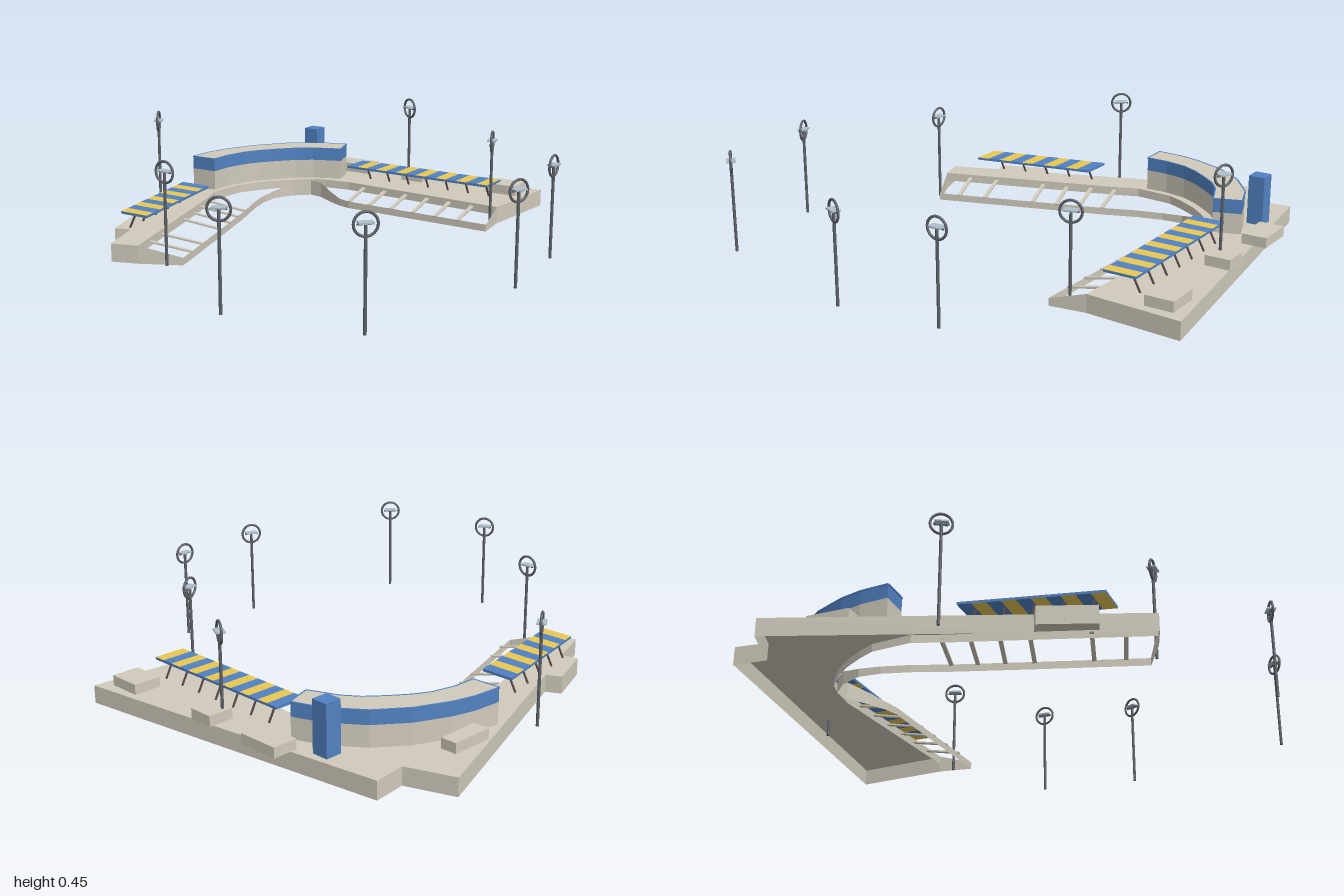
import * as THREE from 'three';

const mat = (name, color, side = THREE.FrontSide) => {
  const m = new THREE.MeshStandardMaterial({ color, side });
  m.name = name;
  return m;
};

export function createModel() {
  const concrete = mat('concrete', 0xd0cabb, THREE.DoubleSide);
  const blue = mat('blue', 0x5182c2);
  const yellow = mat('yellow', 0xe8c854);
  const steel = mat('steel', 0x5c6168);
  const panelGrey = mat('lamp panel', 0xaebfcb);
  const post = mat('post', 0x5e4a4c);
  const root = new THREE.Group();

  const add = (parent, name, geo, material) => {
    const m = new THREE.Mesh(geo, material);
    m.name = name;
    parent.add(m);
    return m;
  };
  const group = (name, parent = root) => {
    const g = new THREE.Group();
    g.name = name;
    parent.add(g);
    return g;
  };
  // upright prism over an [x, z] outline; material may be [caps, sides]
  const prism = (parent, name, pts, y0, y1, material) => {
    const shape = new THREE.Shape(pts.map(([x, z]) => new THREE.Vector2(x, -z)));
    const geo = new THREE.ExtrudeGeometry(shape, { depth: y1 - y0, bevelEnabled: false });
    geo.rotateX(-Math.PI / 2).translate(0, y0, 0);
    return add(parent, name, geo, material);
  };
  // thin upright wall along [x, z, top] points
  const wall = (parent, name, pts, y0 = 0) => {
    const pos = [];
    for (let i = 0; i < pts.length - 1; i++) {
      const [ax, az, ah] = pts[i], [bx, bz, bh] = pts[i + 1];
      pos.push(ax, y0, az, bx, y0, bz, bx, bh, bz, ax, y0, az, bx, bh, bz, ax, ah, az);
    }
    const geo = new THREE.BufferGeometry();
    geo.setAttribute('position', new THREE.Float32BufferAttribute(pos, 3));
    geo.computeVertexNormals();
    add(parent, name, geo, concrete);
  };
  // bar of width w and height h between two points
  const bar = (parent, name, a, b, w, h, material) => {
    const p = new THREE.Vector3(...a), q = new THREE.Vector3(...b);
    const m = add(parent, name, new THREE.BoxGeometry(w, h, p.distanceTo(q)), material);
    m.position.copy(p).add(q).multiplyScalar(0.5);
    m.lookAt(q);
  };
  const box = (parent, name, x0, x1, y0, y1, z0, z1, material) => {
    const m = add(parent, name, new THREE.BoxGeometry(x1 - x0, y1 - y0, z1 - z0), material);
    m.position.set((x0 + x1) / 2, (y0 + y1) / 2, (z0 + z1) / 2);
  };

  // Deck: top slab over a hollow shell
  const H = 0.072;
  const outer = [[-0.483, 0.712], [-0.556, 0.515], [-0.62, 0.537], [-0.696, 0.33], [-0.637, 0.3],
    [-0.98, -0.62], [-0.79, -0.688], [-0.805, -0.824], [0.543, -1], [0.514, -0.61]];
  const inner = [[-0.26, -0.653], [-0.37, -0.636], [-0.425, -0.62], [-0.5, -0.556], [-0.56, -0.486],
    [-0.61, -0.406], [-0.645, -0.336], [-0.66, -0.17], [-0.62, -0.07], [-0.377, 0.677]];
  const deck = group('deck');
  prism(deck, 'deckSlab', [...outer, ...inner], H - 0.004, H, concrete);
  wall(deck, 'innerFascia', [outer.at(-1), ...inner].map(([x, z]) => [x, z, H]), 0.036);
  wall(deck, 'outerWall', [[-0.22, 0.6, 0.03], [-0.377, 0.677, H],
    ...outer.map(([x, z]) => [x, z, H]), [0.533, -0.465, 0.03]]);
  wall(deck, 'innerKerb', [[0.533, -0.465, 0.03], [-0.155, -0.485, 0.03], [-0.21, -0.5, 0.032],
    [-0.29, -0.54, 0.05], [-0.37, -0.59, 0.068], [-0.43, -0.6, 0.068], [-0.495, -0.54, 0.055],
    [-0.535, -0.45, 0.034], [-0.53, -0.36, 0.03], [-0.5, -0.25, 0.03], [-0.446, -0.106, 0.03],
    [-0.35, 0.19, 0.03], [-0.22, 0.6, 0.03]]);

  // Sloping ribs from the deck edge to the kerb
  const ribs = group('ribs');
  for (const [x, z, x2, z2] of [
    [-0.62, -0.07, -0.446, -0.106], [-0.585, 0.03, -0.415, -0.012], [-0.54, 0.13, -0.38, 0.085],
    [-0.51, 0.235, -0.35, 0.19], [-0.465, 0.455, -0.28, 0.4], [-0.41, 0.567, -0.24, 0.51],
    ...[0, 1, 2, 3, 4, 5].map(i => [-0.17 + i * 0.112, -0.645 + i * 0.005, -0.156 + i * 0.111, -0.488 + i * 0.005])])
    bar(ribs, 'rib', [x, 0.057, z], [x2, 0.028, z2], 0.016, 0.007, concrete);

  // Curved main building with a blue upper band and rim around a plain roof
  const building = group('building');
  const plan = [[-0.362, -0.8], [-0.478, -0.758], [-0.61, -0.662], [-0.704, -0.54], [-0.765, -0.405],
    [-0.79, -0.313], [-0.8, -0.196], [-0.683, -0.2], [-0.68, -0.295], [-0.657, -0.392], [-0.62, -0.46],
    [-0.567, -0.53], [-0.51, -0.595], [-0.446, -0.641], [-0.325, -0.69]];
  prism(building, 'buildingWall', plan, H, 0.157, concrete);
  prism(building, 'blueBand', plan, 0.157, 0.214, [concrete, blue]);
  plan.forEach(([x, z], i) => {
    const [x2, z2] = plan[(i + 1) % plan.length];
    bar(building, 'roofRim', [x, 0.212, z], [x2, 0.212, z2], 0.006, 0.006, blue);
  });
  box(root, 'tower', -0.572, -0.503, H, 0.275, -0.828, -0.76, blue);

  // Low service blocks
  const blocks = group('serviceBlocks');
  for (const [x0, x1, z0, z1] of [[-0.44, -0.27, -0.948, -0.845], [-0.08, 0.025, -0.934, -0.83],
    [0.352, 0.492, -0.945, -0.83], [-0.857, -0.79, -0.493, -0.318]])
    box(blocks, 'serviceBlock', x0, x1, H, 0.113, z0, z1, concrete);

  // Striped awnings with blue edges on leaning posts; a-b is the start edge, c-d the end edge
  const mix = (p, q, t) => [p[0] + (q[0] - p[0]) * t, p[1] + (q[1] - p[1]) * t];
  const awning = (name, a, b, c, d, n, posts) => {
    const g = group(name);
    for (let i = 0; i < n; i++) {
      const s = i / n, e = (i + 1) / n;
      prism(g, 'stripe', [mix(a, c, s), mix(b, d, s), mix(b, d, e), mix(a, c, e)],
        0.142, 0.152, [i % 2 ? yellow : blue, blue]);
    }
    for (let i = 0; i < posts; i++) {
      const t = (i + 0.5) / posts, p = mix(a, c, t), q = mix(b, d, t);
      const [fx, fz] = mix(p, q, 0.06), [tx, tz] = mix(p, q, 0.34);
      bar(g, 'awningPost', [fx, H, fz], [tx, 0.142, tz], 0.006, 0.006, post);
    }
  };
  awning('rearAwning', [-0.256, -0.773], [-0.256, -0.64], [0.449, -0.773], [0.449, -0.64], 14, 7);
  awning('sideAwning', [-0.685, 0.022], [-0.546, 0.022], [-0.573, 0.548], [-0.44, 0.548], 10, 5);

  // Ring lamps: x, z, ring direction in plan, ring height
  const lamps = group('lamps');
  for (const [x, z, dx, dz, y] of [
    [-0.817, 0.017, 8, 13, 0.405], [-0.27, 0.637, 1, 0, 0.366], [0.243, 0.972, 15, -7, 0.37],
    [0.757, 0.877, 1, -1, 0.373], [0.958, 0.162, 7, -15, 0.362], [0.91, -0.258, 0, 1, 0.367],
    [0.513, -0.543, 5, 15, 0.368], [-0.056, -0.855, 2, 1, 0.406]]) {
    const g = group('lamp', lamps);
    g.position.set(x, 0, z);
    g.rotation.y = -Math.atan2(dz, dx);
    const pole = add(g, 'lampPole', new THREE.CylinderGeometry(0.006, 0.006, y, 24), steel);
    pole.position.y = y / 2;
    add(g, 'lampRing', new THREE.TorusGeometry(0.041, 0.005, 16, 40), steel).position.y = y;
    box(g, 'lampCrossbar', -0.03, 0.03, y - 0.003, y + 0.002, -0.0025, 0.0025, steel);
    box(g, 'lampPanel', -0.026, 0.026, y + 0.002, y + 0.008, -0.018, 0.018, panelGrey);
  }
  return root;
}
